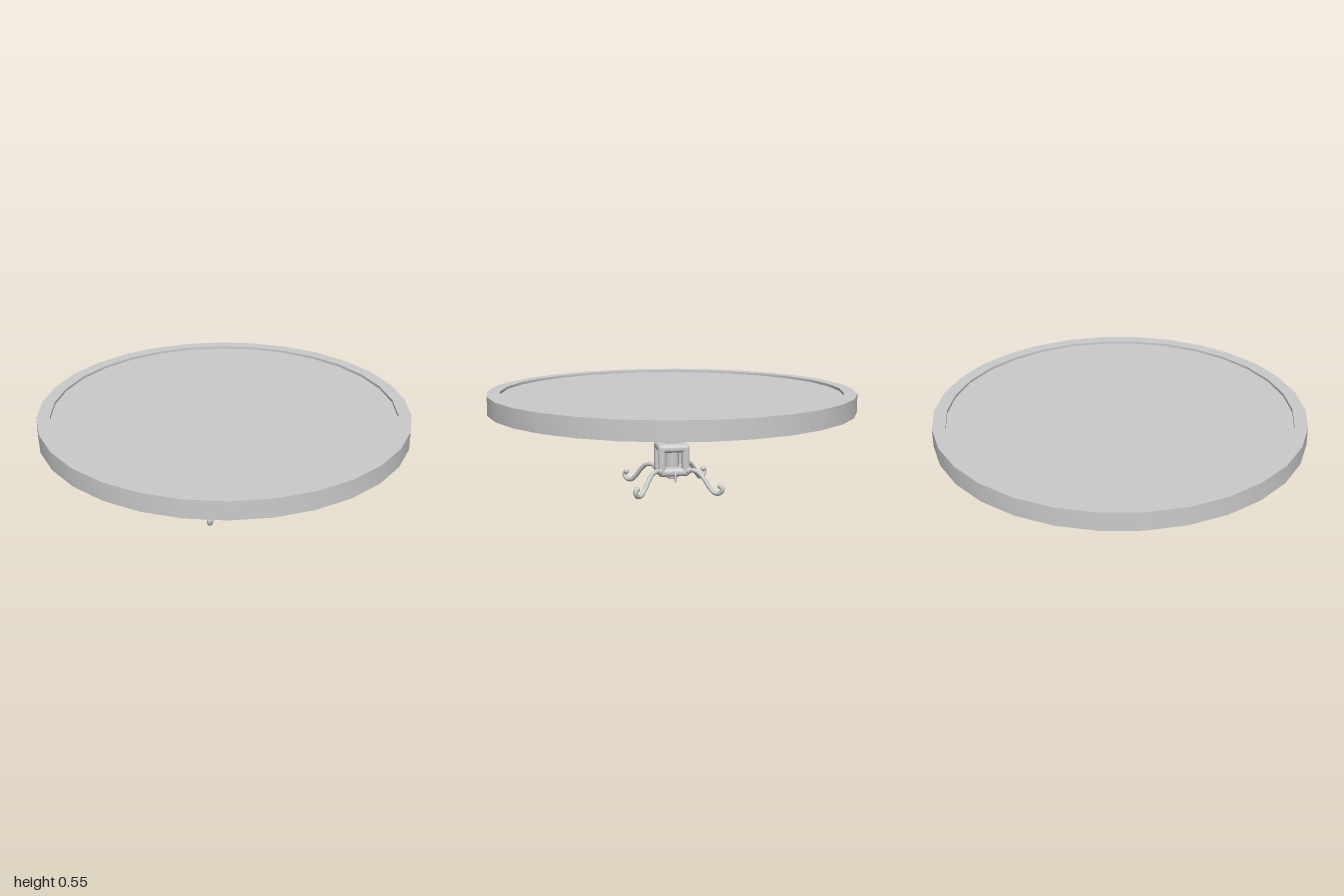
import * as THREE from 'three';
import { toCreasedNormals } from 'three/addons/utils/BufferGeometryUtils.js';
import { RoundedBoxGeometry } from 'three/addons/geometries/RoundedBoxGeometry.js';

const grey = new THREE.MeshStandardMaterial({ color: 0xcccccc });

function add(parent, name, geometry, x = 0, y = 0, z = 0) {
  const mesh = new THREE.Mesh(geometry, grey);
  mesh.name = name;
  mesh.position.set(x, y, z);
  parent.add(mesh);
  return mesh;
}

// Solid of revolution with crisp profile corners
function turned(profile, sides, start = 0) {
  const points = profile.map(([r, y]) => new THREE.Vector2(r, y));
  return toCreasedNormals(new THREE.LatheGeometry(points, sides, start), 0.5);
}

// Bent round bar through points [x, y] in the XY plane
function bar(points, radius, steps) {
  const curve = new THREE.CatmullRomCurve3(points.map(([x, y]) => new THREE.Vector3(x, y, 0)));
  return new THREE.TubeGeometry(curve, steps, radius, 10);
}

export function createModel() {
  const model = new THREE.Group();
  model.name = 'pedestalTable';

  // Thirty-sided top with a raised rim around a shallow recess
  add(model, 'tableTop', turned([
    [0, 0.455], [1, 0.455], [1, 0.555], [0.93, 0.555], [0.93, 0.541], [0, 0.541],
  ], 30, Math.PI / 2));

  // Column, running down through the hub
  add(model, 'column', new THREE.CylinderGeometry(0.04, 0.04, 0.36, 24), 0, 0.276, 0);

  // Cap under the hub
  add(model, 'bottomCap', turned([
    [0, 0.064], [0.028, 0.064], [0.04, 0.071], [0.04, 0.1],
  ], 24));

  // Open cubic hub: two plates joined by four corner posts
  const hub = new THREE.Group();
  hub.name = 'hub';
  model.add(hub);
  for (const [name, y] of [['hubTopPlate', 0.241], ['hubBottomPlate', 0.108]]) {
    add(hub, name, new RoundedBoxGeometry(0.176, 0.045, 0.176, 4, 0.02), 0, y, 0);
  }
  for (const sx of [-1, 1]) {
    for (const sz of [-1, 1]) {
      add(hub, 'hubPost', new RoundedBoxGeometry(0.043, 0.178, 0.043, 4, 0.02), sx * 0.0665, 0.1745, sz * 0.0665);
    }
  }

  // Four scrolled legs on the diagonals
  const legPath = [
    [0.1, 0.115], [0.14, 0.123], [0.18, 0.115], [0.215, 0.085], [0.25, 0.043],
    [0.28, 0.018], [0.31, 0.016], [0.33, 0.032], [0.332, 0.05], [0.318, 0.06],
  ];
  for (let i = 0; i < 4; i++) {
    const leg = new THREE.Group();
    leg.name = 'leg';
    leg.rotation.y = Math.PI / 4 + i * Math.PI / 2;
    add(leg, 'legBar', bar(legPath, 0.0125, 48));
    add(leg, 'legTip', new THREE.SphereGeometry(0.0145, 14, 10), 0.318, 0.058, 0);
    add(leg, 'legSocket', new THREE.SphereGeometry(0.018, 14, 10), 0.112, 0.116, 0);
    model.add(leg);
  }

  // Small hook on the left face of the hub
  add(model, 'hook', bar([[0.08, 0.112], [0.105, 0.112], [0.12, 0.1], [0.122, 0.068]], 0.005, 16));
  add(model, 'hookTip', new THREE.SphereGeometry(0.005, 10, 8), 0.122, 0.068, 0);

  return model;
}
